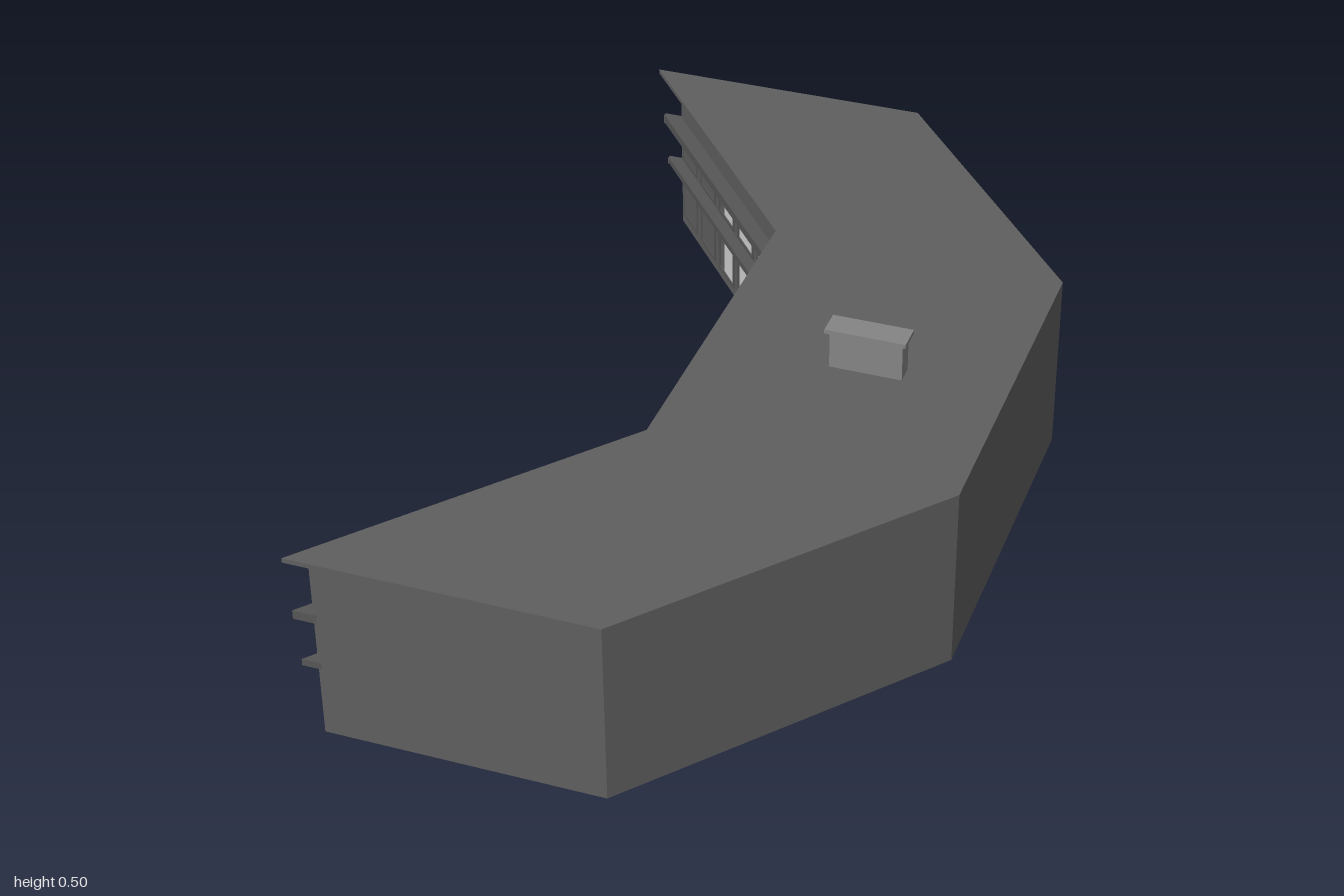
import * as THREE from 'three';

const mat = (name, color) => {
  const m = new THREE.MeshStandardMaterial({ color });
  m.name = name;
  return m;
};

export function createModel() {
  const model = new THREE.Group();
  model.name = 'angledBuilding';
  const wall = mat('wallGrey', 0x5f5f5f);
  const trim = mat('trimGrey', 0x565656);
  const glass = mat('paleGlass', 0xd2d2d2);
  const stone = mat('chimneyGrey', 0x858585);
  const BACK = -0.992;

  const add = (name, geometry, material, parent = model) => {
    const mesh = new THREE.Mesh(geometry, material);
    mesh.name = name;
    parent.add(mesh);
    return mesh;
  };
  const box = (name, material, x0, x1, y0, y1, z0, z1) => {
    const m = add(name, new THREE.BoxGeometry(x1 - x0, y1 - y0, z1 - z0), material);
    m.position.set((x0 + x1) / 2, (y0 + y1) / 2, (z0 + z1) / 2);
    return m;
  };

  // Upright prism from an [x, z] ground plan
  const prism = (name, plan, y0, y1, material) => {
    const shape = new THREE.Shape(plan.map(([x, z]) => new THREE.Vector2(x, -z)));
    const g = new THREE.ExtrudeGeometry(shape, { depth: y1 - y0, bevelEnabled: false });
    g.rotateX(-Math.PI / 2).translate(0, y0, 0);
    return add(name, g, material);
  };

  // Concave facade line, pushed outward by d
  const facade = (d) => {
    const endX = -0.51 - 1.29 * d;
    const midX = -0.03 - d;
    const corner = 1 - (midX - endX) / 0.8125;
    return [[endX, 1], [midX, corner], [midX, -corner], [endX, BACK]];
  };
  const outer = [[0.07, BACK], [0.565, -0.395], [0.565, 0.4], [0.07, 1]];

  // Main body and overhanging flat roof
  prism('body', [...facade(0), ...outer], 0, 0.395, wall);
  prism('roof', [...facade(0.0425), ...outer], 0.395, 0.405, wall);

  // Ledges above each storey, along the facade and the back end
  [[0.155, 0.17, 0.027], [0.265, 0.285, 0.034]].forEach(([y0, y1, d]) => {
    prism('facadeLedge', [...facade(d), ...facade(-0.005).reverse()], y0, y1, trim);
    box('endLedge', trim, -0.51 - 1.29 * d, 0.07, y0, y1, -1, BACK + 0.004);
  });

  // Framed window lying on a wall whose outward normal is (nx, nz)
  const addWindow = (x, z, nx, nz, w, y0, y1) => {
    const win = new THREE.Group();
    win.name = 'window';
    win.position.set(x, (y0 + y1) / 2, z);
    win.rotation.y = Math.atan2(nx, nz);
    model.add(win);
    const h = y1 - y0;
    const f = 0.007;
    const rect = (Type, a, b) => new Type([[-a, -b], [a, -b], [a, b], [-a, b]].map((p) => new THREE.Vector2(...p)));
    const ring = rect(THREE.Shape, w / 2 + f, h / 2 + f);
    ring.holes.push(rect(THREE.Path, w / 2, h / 2));
    add('windowFrame', new THREE.ExtrudeGeometry(ring, { depth: 0.006, bevelEnabled: false }), trim, win);
    add('windowGlass', new THREE.BoxGeometry(w, h, 0.004), glass, win).position.z = 0.001;
  };

  const rows = [[0.03, 0.14], [0.185, 0.25]];
  const wingLength = Math.hypot(0.48, 0.59);
  rows.forEach(([y0, y1]) => {
    for (const s of [1, -1]) {
      // Six wide windows on each wing
      for (let i = 0; i < 6; i++) {
        const t = 0.075 + i * 0.168;
        addWindow(-0.03 - 0.48 * t, s * (0.409 + 0.591 * t), -0.59 / wingLength, -s * 0.48 / wingLength, 0.088, y0, y1);
      }
      // Four narrow windows each side of the entrance
      for (let i = 0; i < 4; i++) addWindow(-0.03, s * (0.122 + i * 0.08), -1, 0, 0.048, y0, y1);
    }
    // Long window band on the back end
    addWindow(-0.228, BACK, 0, -1, 0.54, y0, y1);
  });

  // Entrance surround, doors and steps
  box('entranceSurround', wall, -0.045, -0.02, 0, 0.156, -0.075, 0.075);
  for (const s of [-1, 1]) {
    box('entranceDoor', trim, -0.049, -0.043, 0.04, 0.135, s * 0.028 - 0.025, s * 0.028 + 0.025);
  }
  box('upperStep', trim, -0.07, -0.02, 0, 0.035, -0.08, 0.08);
  box('lowerStep', trim, -0.1, -0.02, 0, 0.018, -0.083, 0.077);

  // Rooftop chimney with a thin cap
  box('chimney', stone, 0.197, 0.35, 0.4, 0.49, 0.025, 0.066);
  box('chimneyCap', stone, 0.188, 0.358, 0.488, 0.497, 0.016, 0.074);

  return model;
}
